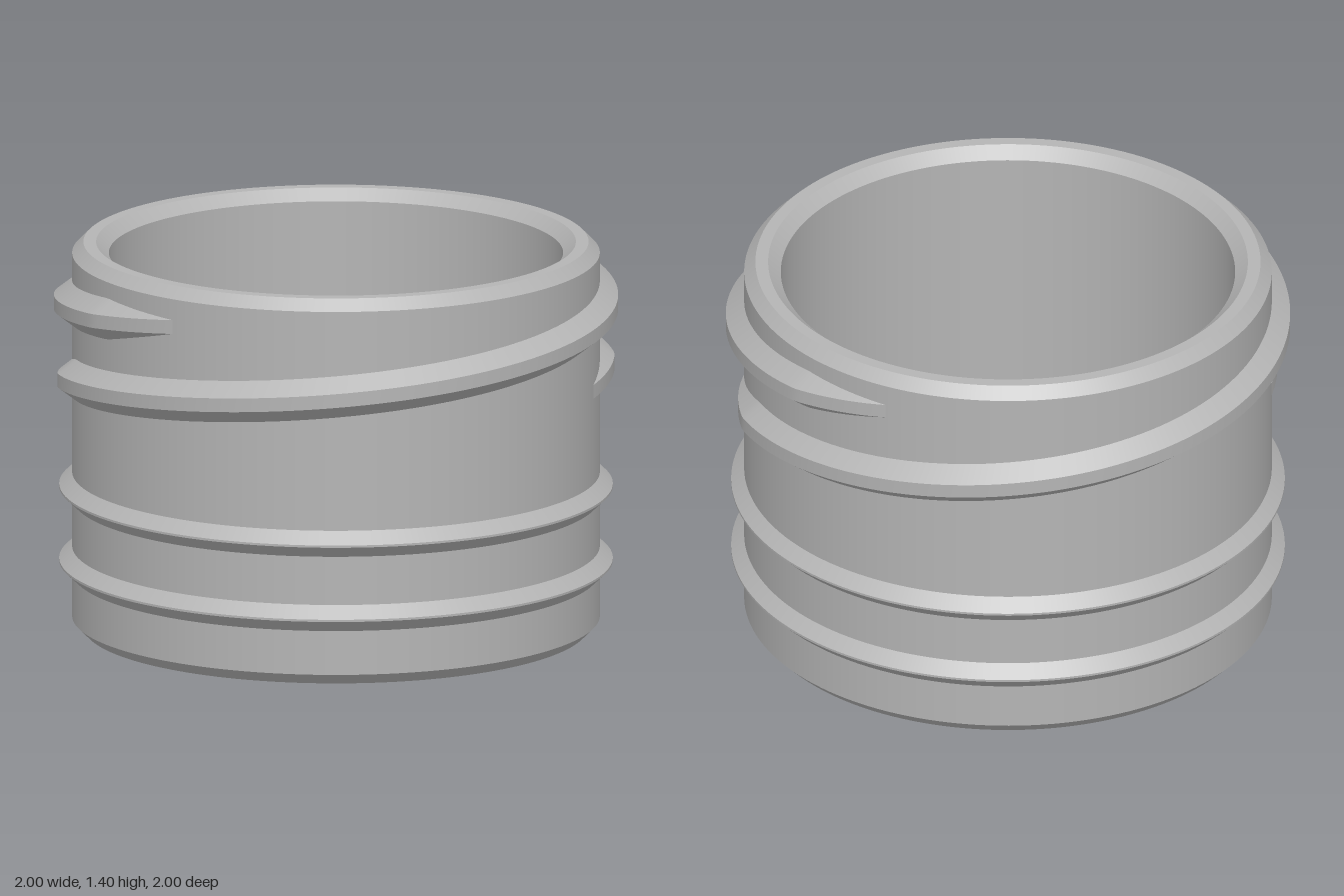
import * as THREE from 'three';
import { mergeGeometries } from 'three/addons/utils/BufferGeometryUtils.js';

const SEGMENTS = 144;
const WALL = 0.935; // outer wall radius
const DEG = Math.PI / 180;

// Revolve each profile edge separately: smooth around, sharp between edges
function creasedLathe(profile) {
  const parts = [];
  for (let i = 0; i < profile.length - 1; i++) {
    const edge = [profile[i], profile[i + 1]].map(([r, y]) => new THREE.Vector2(r, y));
    parts.push(new THREE.LatheGeometry(edge, SEGMENTS));
  }
  return mergeGeometries(parts);
}

// Helical trapezoid ridge, whose crest sinks into the wall at both ends
function threadGeometry() {
  const steps = 160, sweep = 245, fade = 22;
  const startY = 0.9, rise = 0.132 / 90;
  const rootR = 0.92, crestR = 1, crestHalf = 0.025, slope = 0.77;

  const section = (deg) => {
    const k = Math.min(1, deg / fade, (sweep - deg) / fade);
    const top = THREE.MathUtils.lerp(WALL - 0.001, crestR, k);
    const rootHalf = crestHalf + (top - rootR) * slope;
    const y = startY + rise * deg;
    return [[rootR, y - rootHalf], [top, y - crestHalf], [top, y + crestHalf], [rootR, y + rootHalf]]
      .map(([r, h]) => [-r * Math.cos(deg * DEG), h, r * Math.sin(deg * DEG)]);
  };

  // One strip each for lower flank, crest and upper flank
  const strips = [0, 1, 2].map((s) => {
    const positions = [], index = [];
    for (let i = 0; i <= steps; i++) {
      const ring = section((sweep * i) / steps);
      positions.push(...ring[s], ...ring[s + 1]);
      if (i < steps) {
        const a = 2 * i;
        index.push(a, a + 2, a + 3, a, a + 3, a + 1);
      }
    }
    const g = new THREE.BufferGeometry();
    g.setAttribute('position', new THREE.Float32BufferAttribute(positions, 3));
    g.setIndex(index);
    g.computeVertexNormals();
    return g;
  });
  return mergeGeometries(strips);
}

export function createModel() {
  const group = new THREE.Group();
  group.name = 'threadedNeck';
  const grey = new THREE.MeshStandardMaterial({ color: 0xb4b4b4 });
  grey.name = 'grey';

  const add = (name, geometry) => {
    const mesh = new THREE.Mesh(geometry, grey);
    mesh.name = name;
    group.add(mesh);
    return mesh;
  };

  // Hollow sleeve with chamfered rims
  add('sleeve', creasedLathe([
    [0.85, 0], [0.895, 0], [WALL, 0.04], [WALL, 1.36], [0.895, 1.4],
    [0.85, 1.4], [0.805, 1.36], [0.805, 0.04], [0.85, 0],
  ]));

  // Two retaining ribs
  [['lowerRib', 0.247], ['upperRib', 0.517]].forEach(([name, y]) => {
    add(name, creasedLathe([
      [WALL - 0.005, y - 0.052], [0.981, y - 0.004], [0.981, y + 0.004], [WALL - 0.005, y + 0.052],
    ]));
  });

  // Two-start screw thread
  const thread = threadGeometry();
  add('threadA', thread);
  add('threadB', thread).rotation.y = Math.PI;

  return group;
}
